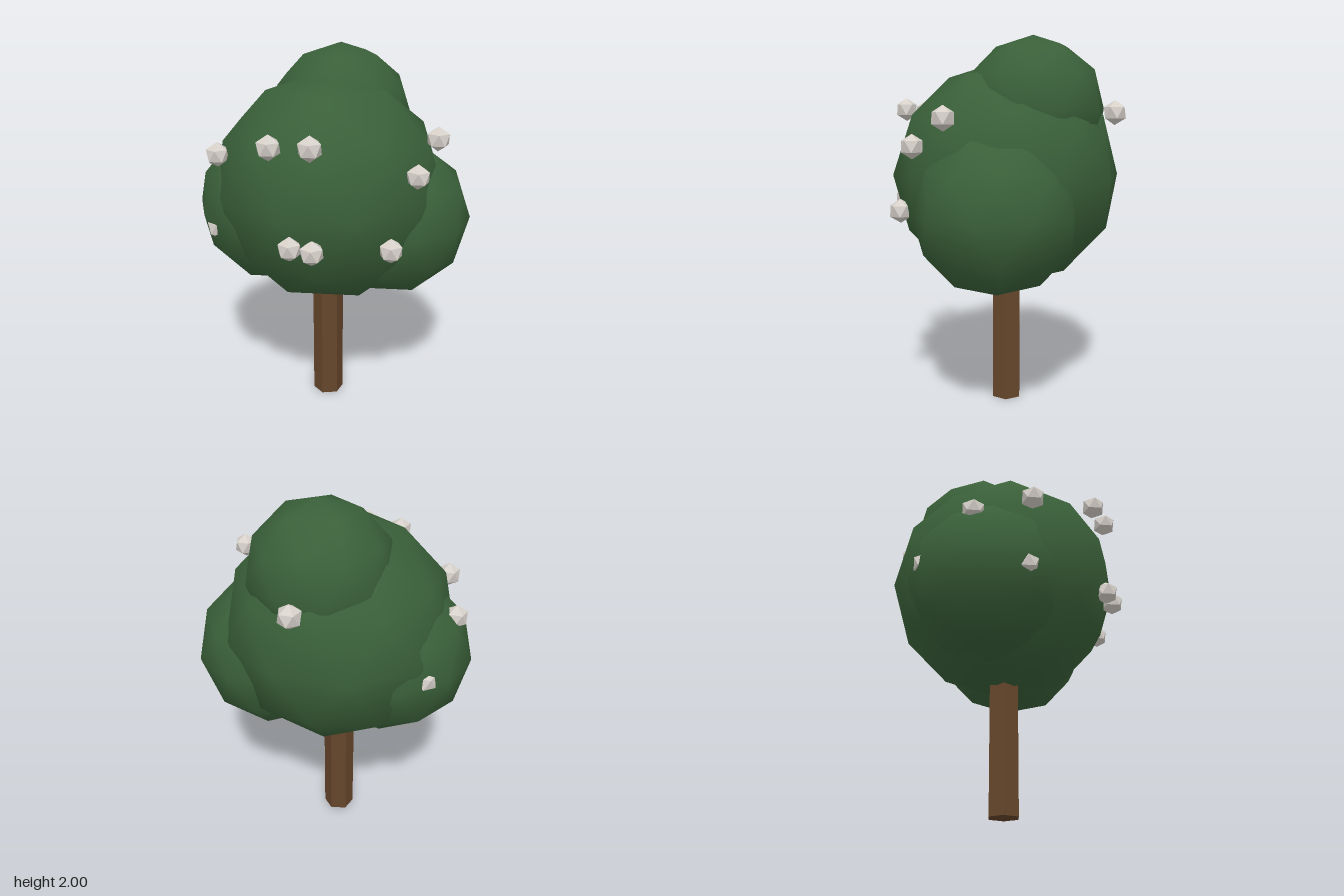
import * as THREE from 'three';

// Icosphere standing on one of its vertices; detail 0 is faceted, detail 1 smooth
function poleUpIcosphere(radius, detail) {
  const g = new THREE.IcosahedronGeometry(radius, detail);
  g.rotateZ(-Math.atan(2 / (1 + Math.sqrt(5))));
  return g;
}

export function createModel() {
  const leafGreen = new THREE.MeshStandardMaterial({ color: 0x3a6039 });
  leafGreen.name = 'leafGreen';
  const barkBrown = new THREE.MeshStandardMaterial({ color: 0x66462b });
  barkBrown.name = 'barkBrown';
  const fruitGrey = new THREE.MeshStandardMaterial({ color: 0xd6d0c9 });
  fruitGrey.name = 'fruitGrey';

  const tree = new THREE.Group();
  tree.name = 'tree';
  const add = (name, geometry, material, [x, y, z]) => {
    const mesh = new THREE.Mesh(geometry, material);
    mesh.name = name;
    mesh.position.set(x, y, z);
    tree.add(mesh);
  };

  // Six-sided trunk, faceted, reaching into the crown
  const trunk = new THREE.CylinderGeometry(0.085, 0.085, 0.9, 6).toNonIndexed();
  trunk.computeVertexNormals();
  add('trunk', trunk, barkBrown, [-0.022, 0.45, 0]);

  // Overlapping leaf masses
  const puffs = [
    ['mainCrown', 0.615, [-0.02, 1.265, 0]],
    ['topCrown', 0.38, [-0.02, 1.62, -0.165]],
    ['leftCrown', 0.43, [0.29, 1.1, -0.135]],
    ['rightCrown', 0.43, [-0.29, 1.155, 0.07]],
  ];
  for (const [name, r, p] of puffs) add(name, poleUpIcosphere(r, 1), leafGreen, p);

  // Fruit scattered over the crown, some half sunk in the leaves
  const fruit = poleUpIcosphere(0.063, 0);
  const spots = [
    [-0.06, 1.605, 0.58], [0.14, 1.615, 0.56], [-0.445, 1.49, 0.41],
    [-0.61, 1.4, 0.16], [0.57, 1.575, -0.015], [0.54, 1.435, 0.2],
    [0.04, 1.125, 0.585], [0.15, 1.115, 0.57], [0.465, 1.095, 0.345],
    [-0.475, 1.09, 0.39], [-0.13, 1.6, -0.585], [-0.6, 1.18, -0.13],
  ];
  spots.forEach((p, i) => add('fruit' + (i + 1), fruit, fruitGrey, p));

  return tree;
}
